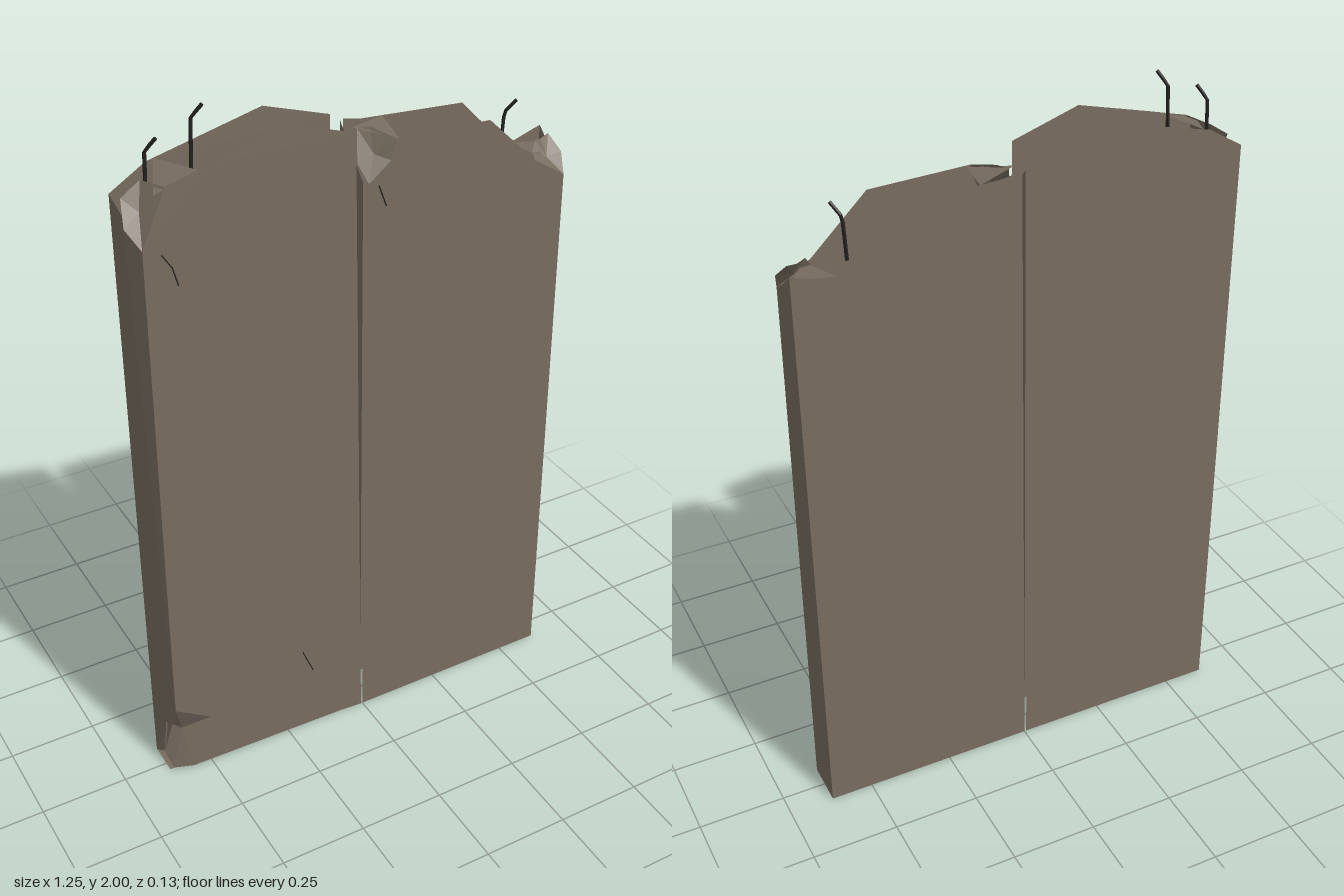
import * as THREE from 'three';

const F = 0.064, B = -0.066; // front and back planes

export function createModel() {
  const root = new THREE.Group();
  const slab = new THREE.MeshStandardMaterial({ color: 0x786c60, flatShading: true, side: THREE.DoubleSide });
  slab.name = 'weathered stone';
  const steel = new THREE.MeshStandardMaterial({ color: 0x24211e, flatShading: true, side: THREE.DoubleSide });
  steel.name = 'dark steel';

  const add = (name, geo, mat = slab) => {
    const mesh = new THREE.Mesh(geo, mat);
    mesh.name = name;
    root.add(mesh);
    return mesh;
  };

  // flat wall from an outline in x, y
  const wall = (name, outline, z) => {
    const geo = new THREE.ShapeGeometry(new THREE.Shape(outline.map(p => new THREE.Vector2(...p))));
    add(name, geo.translate(0, 0, z));
  };

  // convex polygon in space, fanned from its first point
  const fan = (name, pts) => {
    const pos = [];
    for (let i = 1; i < pts.length - 1; i++) pos.push(...pts[0], ...pts[i], ...pts[i + 1]);
    const geo = new THREE.BufferGeometry();
    geo.setAttribute('position', new THREE.Float32BufferAttribute(pos, 3));
    geo.computeVertexNormals();
    add(name, geo);
  };

  // broken surface: closed rim around a sunken or raised centre
  const crumble = (name, centre, rim) => fan(name, [centre, ...rim, rim[0]]);

  // right half of the slab, with chipped corners
  wall('rightFront', [
    [-0.005, 0], [-0.07, 0.005], [-0.56, 0.018], [-0.5, 0.18], [-0.605, 0.25],
    [-0.597, 1.69], [-0.53, 1.84], [-0.42, 1.87], [-0.21, 1.925], [-0.025, 1.865],
  ], F);
  wall('rightBack', [
    [-0.005, 0], [-0.622, 0], [-0.618, 1.79], [-0.52, 1.85], [-0.21, 1.925], [-0.025, 1.865],
  ], B);
  fan('rightEnd', [
    [-0.605, 0.25, F], [-0.597, 1.69, F], [-0.615, 1.76, 0], [-0.618, 1.79, B],
    [-0.622, 0, B], [-0.622, 0.05, 0],
  ]);

  // left half of the slab
  wall('leftFront', [
    [0, 0], [0.622, 0], [0.61, 1.61], [0.52, 1.665], [0.365, 1.815], [0.09, 1.825],
    [0.075, 1.77], [0.012, 1.72],
  ], F);
  wall('leftBack', [
    [0, 0], [0.622, 0], [0.618, 1.7], [0.51, 1.665], [0.365, 1.815], [0.06, 1.835], [0.012, 1.845],
  ], B);
  fan('leftEnd', [
    [0.622, 0, F], [0.622, 0, B], [0.618, 1.7, B], [0.613, 1.65, 0], [0.61, 1.61, F],
  ]);

  // dividing face and wedge-shaped undersides
  fan('divider', [[0, 0, 0.05], [0, 0, B], [0.003, 1.845, B], [0.003, 1.72, 0.05]]);
  for (const s of [-1, 1])
    fan('underside', [[0, 0.002, 0], [s * 0.622, 0.002, B], [s * 0.622, 0.002, s < 0 ? 0.03 : F]]);

  // crumbled corners
  crumble('upperRightBreak', [-0.58, 1.77, 0.02], [
    [-0.53, 1.84, F], [-0.56, 1.77, F], [-0.597, 1.69, F], [-0.625, 1.74, 0.03],
    [-0.612, 1.8, -0.01], [-0.56, 1.835, -0.01],
  ]);
  crumble('lowerRightBreak', [-0.575, 0.14, 0.025], [
    [-0.605, 0.25, F], [-0.5, 0.18, F], [-0.56, 0.018, F], [-0.61, 0.003, 0.03],
    [-0.624, 0.05, 0.0], [-0.615, 0.17, 0.01],
  ]);
  crumble('middleBreak', [0.045, 1.78, 0.03], [
    [0.012, 1.72, F], [0.075, 1.77, F], [0.09, 1.825, F], [0.05, 1.842, 0],
    [0.025, 1.835, -0.02], [0.004, 1.76, 0.02],
  ]);
  crumble('upperLeftBreak', [0.575, 1.655, 0.03], [
    [0.52, 1.665, 0.055], [0.61, 1.61, F], [0.622, 1.66, 0.03], [0.605, 1.7, -0.01],
    [0.575, 1.695, 0], [0.55, 1.7, 0.01], [0.535, 1.675, 0.02],
  ]);

  // loose flakes bridging the open top edge
  fan('rightFlake', [[-0.56, 1.825, F], [-0.445, 1.863, F], [-0.5, 1.855, B]]);
  fan('middleFlake', [[0.01, 1.84, -0.02], [0.1, 1.82, F], [0.125, 1.83, B]]);
  fan('leftFlake', [[0.5, 1.675, B], [0.545, 1.67, 0.045], [0.6, 1.67, -0.03]]);

  // bent reinforcing rods
  for (const [x, y, top] of [[-0.55, 1.76, 1.94], [-0.43, 1.82, 1.998], [0.452, 1.68, 1.828]]) {
    const path = new THREE.CurvePath();
    const p = [
      new THREE.Vector3(x, y, -0.008), new THREE.Vector3(x + 0.004, top - 0.035, -0.004),
      new THREE.Vector3(x + 0.026, top, 0.015),
    ];
    path.add(new THREE.LineCurve3(p[0], p[1]));
    path.add(new THREE.LineCurve3(p[1], p[2]));
    add('rod', new THREE.TubeGeometry(path, 8, 0.005, 5, false), steel);
  }

  // hairline cracks on the front
  for (const [x1, y1, x2, y2] of [
    [-0.55, 1.67, -0.525, 1.63], [-0.525, 1.63, -0.512, 1.58],
    [-0.2, 0.29, -0.168, 0.21], [0.04, 1.71, 0.062, 1.65],
  ]) {
    const geo = new THREE.BoxGeometry(0.003, Math.hypot(x2 - x1, y2 - y1), 0.002);
    const crack = add('crack', geo, steel);
    crack.position.set((x1 + x2) / 2, (y1 + y2) / 2, F + 0.001);
    crack.rotation.z = Math.atan2(x2 - x1, y1 - y2);
  }
  return root;
}
